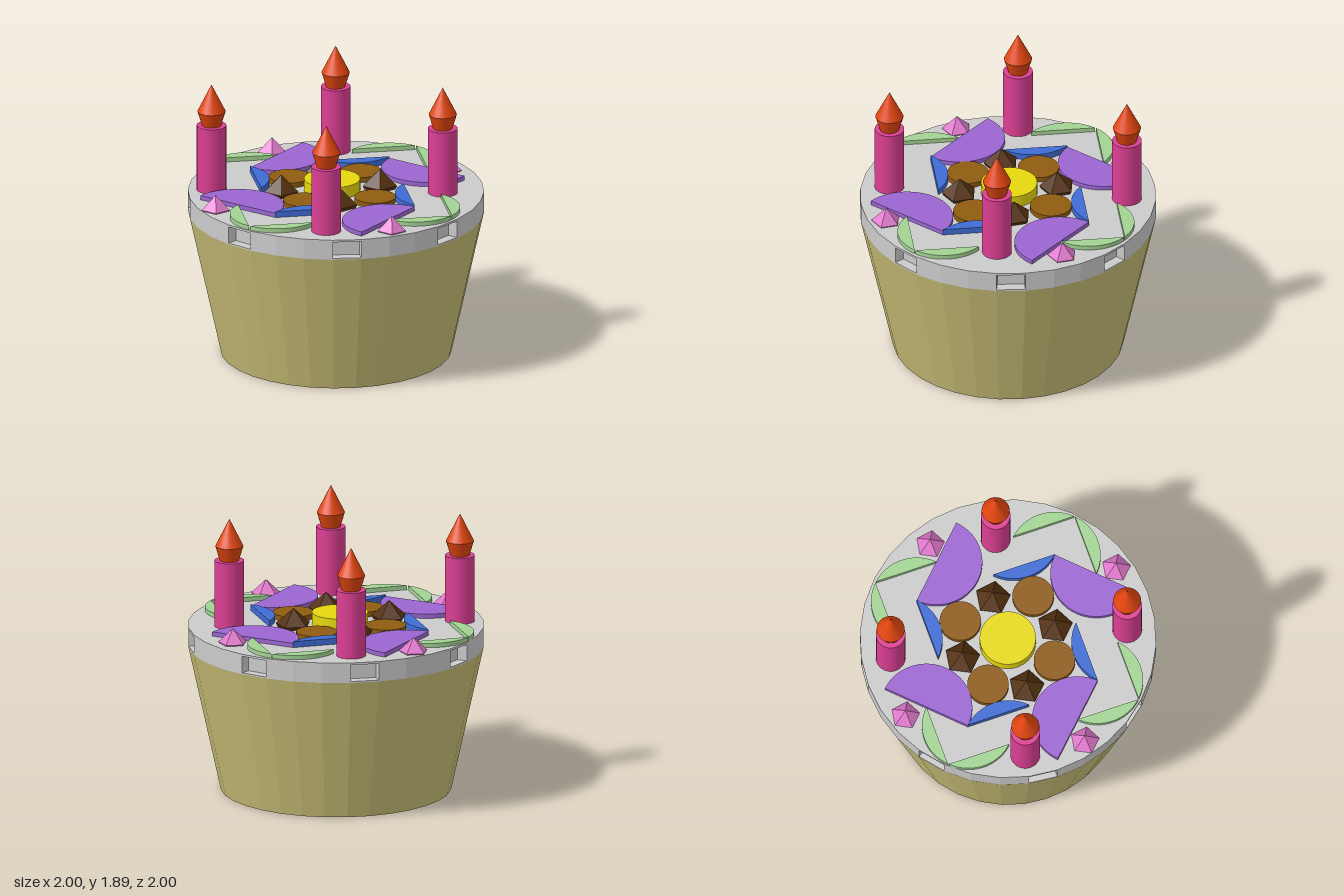
import * as THREE from 'three';

const SIDES = 32;
const TOP = 1.14;

export function createModel() {
  const root = new THREE.Group();
  root.name = 'birthdayCupcake';

  const mat = (color, flatShading = false) => new THREE.MeshStandardMaterial({ color, flatShading });
  const cupMat = mat(0xc8be76, true);
  const icingMat = mat(0xcccccc, true);
  const greenMat = mat(0xa3d494);
  const purpleMat = mat(0x9b66d2);
  const blueMat = mat(0x3f6cd4);
  const yellowMat = mat(0xe6d80e);
  const brownMat = mat(0x8f5c10);
  const chocolateMat = mat(0x53310f, true);
  const candyMat = mat(0xdf78cc, true);
  const candleMat = mat(0xdc3f94);
  const flameMat = mat(0xe2450f);

  function add(parent, name, geometry, material, x = 0, y = 0, z = 0) {
    const mesh = new THREE.Mesh(geometry, material);
    mesh.name = name;
    mesh.position.set(x, y, z);
    parent.add(mesh);
    return mesh;
  }

  // Upright slab from an outline seen from above (shape y points to the back)
  function slab(shape, depth) {
    const g = new THREE.ExtrudeGeometry(shape, { depth, bevelEnabled: false, curveSegments: 20 });
    return g.rotateX(-Math.PI / 2);
  }

  // Tapered cup
  add(root, 'cup', new THREE.CylinderGeometry(1, 0.78, 1, SIDES), cupMat, 0, 0.5, 0);

  // Icing disc: every fourth facet of the middle layer is a recessed window
  const rim = (i, r) => {
    const a = (i / SIDES) * Math.PI * 2;
    return new THREE.Vector2(Math.sin(a) * r, -Math.cos(a) * r);
  };
  function icingOutline(windows) {
    const pts = [];
    for (let i = 0; i < SIDES; i++) {
      pts.push(rim(i, 1));
      if (windows && i % 4 === 3) pts.push(rim(i, 0.93), rim(i + 1, 0.93));
    }
    return new THREE.Shape(pts);
  }
  add(root, 'icingBase', slab(icingOutline(false), 0.01), icingMat, 0, 1, 0);
  add(root, 'icingWindows', slab(icingOutline(true), 0.115), icingMat, 0, 1.01, 0);
  add(root, 'icingTop', slab(icingOutline(false), 0.015), icingMat, 0, 1.125, 0);

  // Sweets cut from discs, repeated on the four sides
  function sector(startDeg, endDeg, depth, r = 0.31) {
    const s = new THREE.Shape();
    s.moveTo(0, 0);
    s.absarc(0, 0, r, THREE.MathUtils.degToRad(startDeg), THREE.MathUtils.degToRad(endDeg), false);
    s.closePath();
    return slab(s, depth);
  }
  [[-0.03, -0.69], [-0.68, -0.02], [-0.03, 0.67], [0.67, -0.03]].forEach(([x, z], k) => {
    const side = new THREE.Group();
    side.name = 'sweetCluster';
    side.position.set(x, TOP, z);
    side.rotation.y = k * Math.PI / 2;
    add(side, 'greenQuarterRight', sector(0, 90, 0.03, 0.305), greenMat, 0.004);
    add(side, 'greenQuarterLeft', sector(90, 180, 0.03, 0.305), greenMat, -0.004);
    add(side, 'purpleHalf', sector(180, 360, 0.03), purpleMat, 0.31);
    add(side, 'blueQuarter', sector(270, 360, 0.042), blueMat, -0.31);
    root.add(side);
  });

  // Flower in the middle: yellow heart and brown discs
  add(root, 'flowerHeart', new THREE.CylinderGeometry(0.19, 0.19, 0.085, 40), yellowMat, -0.01, TOP + 0.0425, -0.025);
  for (const [x, z] of [[-0.025, -0.365], [-0.355, -0.015], [-0.025, 0.34], [0.34, -0.035]])
    add(root, 'brownPetal', new THREE.CylinderGeometry(0.14, 0.14, 0.035, 36), brownMat, x, TOP + 0.0175, z);

  // Five-sided gems, partly sunk into the icing, one corner towards +x
  function gem(name, r, height, waist, material, x, z) {
    const profile = [[0, -0.06], [r * 0.6, -0.06], [r, waist], [0, height]];
    const g = new THREE.LatheGeometry(profile.map(p => new THREE.Vector2(...p)), 5, Math.PI / 2);
    add(root, name, g, material, x, TOP, z);
  }
  for (const [x, z] of [[-0.265, -0.265], [0.215, -0.265], [-0.25, 0.21], [0.215, 0.21]])
    gem('chocolateGem', 0.122, 0.135, 0.025, chocolateMat, x, z);
  for (const [x, z] of [[0.385, -0.8], [-0.785, -0.44], [-0.44, 0.77], [0.765, 0.38]])
    gem('candyGem', 0.1, 0.105, 0.008, candyMat, x, z);

  // Candles with pointed flames
  for (const [x, z] of [[-0.465, -0.7], [0.655, -0.465], [-0.695, 0.41], [0.385, 0.61]]) {
    const candle = new THREE.Group();
    candle.name = 'candle';
    candle.position.set(x, 0, z);
    add(candle, 'candleStick', new THREE.CylinderGeometry(0.1, 0.1, 0.59, 32), candleMat, 0, 1.305, 0);
    add(candle, 'flameBase', new THREE.CylinderGeometry(0.095, 0.065, 0.1, 24), flameMat, 0, 1.65, 0);
    add(candle, 'flameTip', new THREE.ConeGeometry(0.095, 0.19, 24), flameMat, 0, 1.795, 0);
    root.add(candle);
  }

  return root;
}
